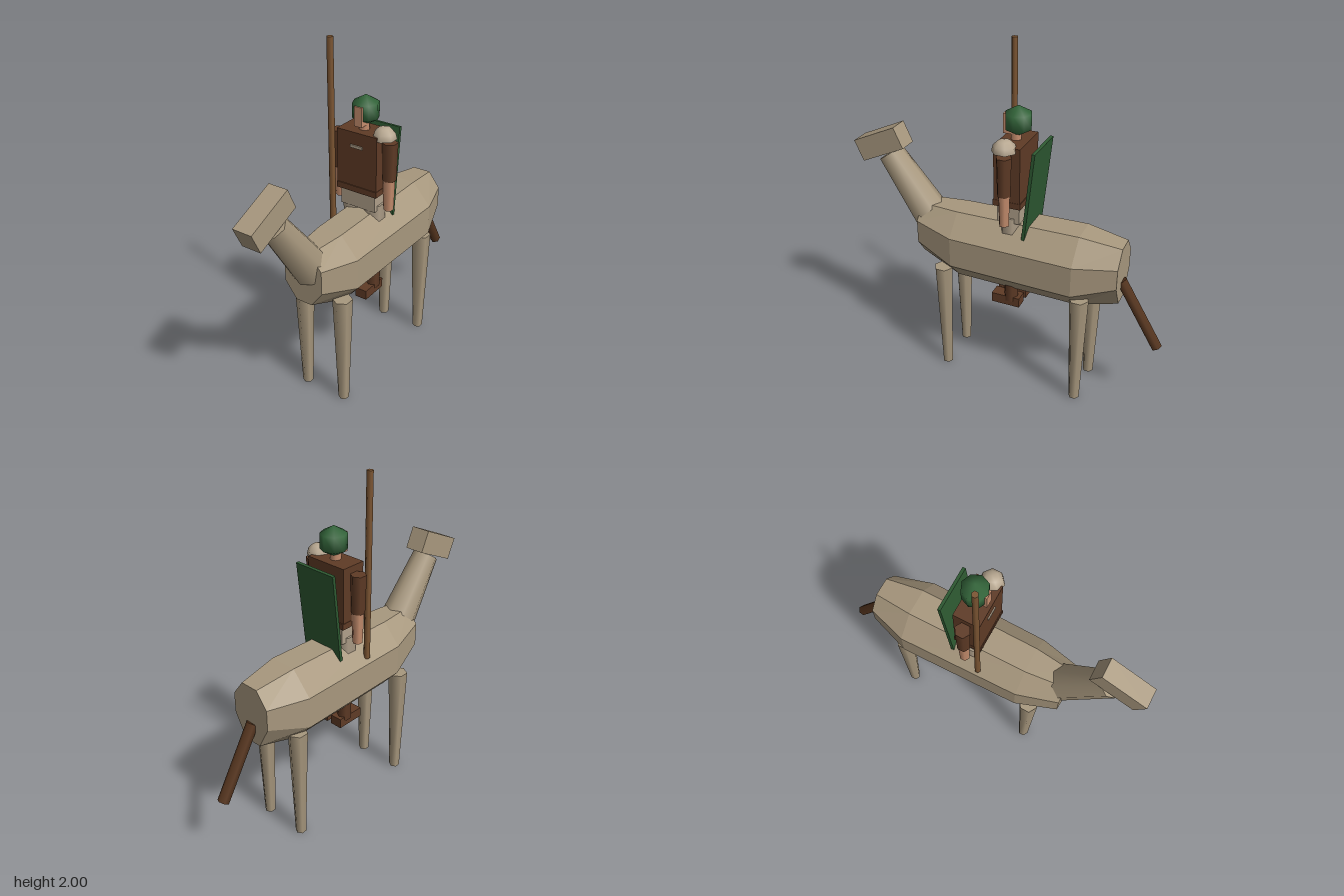
import * as THREE from 'three';

const mat = (name, color, extra = {}) => {
  const m = new THREE.MeshStandardMaterial({ color, ...extra });
  m.name = name;
  return m;
};

export function createModel() {
  const hide = mat('sandy hide', 0xa8987e);
  const hideFlat = mat('sandy hide faceted', 0xa8987e, { flatShading: true });
  const cloth = mat('pale cloth', 0xb0a08a);
  const leather = mat('brown leather', 0x5f3b26);
  const hair = mat('dark hair', 0x57361f);
  const skin = mat('skin', 0xc68e6e);
  const helmetGreen = mat('helmet green', 0x33653a);
  const shieldGreen = mat('shield green', 0x2e5a32);
  const wood = mat('wood', 0x7d5633);

  const model = new THREE.Group();
  model.name = 'mountedRider';

  const add = (name, geo, material, x, y, z, rx = 0) => {
    const mesh = new THREE.Mesh(geo, material);
    mesh.name = name;
    mesh.position.set(x, y, z);
    mesh.rotation.x = rx;
    model.add(mesh);
    return mesh;
  };
  const box = (name, m, w, h, d, x, y, z, rx) =>
    add(name, new THREE.BoxGeometry(w, h, d), m, x, y, z, rx);
  // Upright tapered limb between two heights
  const limb = (name, m, rTop, rBottom, yTop, yBottom, x, z, sides = 6) =>
    add(name, new THREE.CylinderGeometry(rTop, rBottom, yTop - yBottom, sides), m, x, (yTop + yBottom) / 2, z);
  // Tapered limb leaning in the YZ plane, from a [y, z] top to a [y, z] bottom
  const leaning = (name, m, rTop, rBottom, top, bottom, sides) => {
    const dy = top[0] - bottom[0], dz = top[1] - bottom[1];
    return add(name, new THREE.CylinderGeometry(rTop, rBottom, Math.hypot(dy, dz), sides), m,
      0, (top[0] + bottom[0]) / 2, (top[1] + bottom[1]) / 2, Math.atan2(dz, dy));
  };

  // Mount body: octagonal sections lofted from chest to rump
  // z, top half-width, side half-width, bottom, lower ridge, upper ridge, top
  const sections = [
    [0.517, 0.05, 0.12, 0.715, 0.81, 0.945, 1.03],
    [0.28, 0.075, 0.182, 0.62, 0.738, 0.915, 1.035],
    [-0.443, 0.08, 0.195, 0.612, 0.735, 0.915, 1.045],
    [-0.676, 0.055, 0.125, 0.668, 0.80, 0.92, 1.012],
  ];
  const rings = sections.map(([z, t, m, yb, yl, yh, yt]) => [
    [m, yl, z], [m, yh, z], [t, yt, z], [-t, yt, z],
    [-m, yh, z], [-m, yl, z], [-t, yb, z], [t, yb, z],
  ]);
  const verts = [];
  const tri = (a, b, c) => verts.push(...a, ...b, ...c);
  for (let r = 0; r < rings.length - 1; r++) {
    for (let i = 0; i < 8; i++) {
      const j = (i + 1) % 8, p = rings[r], q = rings[r + 1];
      tri(p[i], q[i], q[j]);
      tri(p[i], q[j], p[j]);
    }
  }
  const rear = rings[rings.length - 1];
  for (let i = 1; i < 7; i++) {
    tri(rings[0][0], rings[0][i], rings[0][i + 1]);
    tri(rear[0], rear[i + 1], rear[i]);
  }
  const bodyGeo = new THREE.BufferGeometry();
  bodyGeo.setAttribute('position', new THREE.Float32BufferAttribute(verts, 3));
  bodyGeo.computeVertexNormals();
  add('mountBody', bodyGeo, hideFlat, 0, 0, 0);

  // Mount neck, head, tail and legs
  leaning('mountNeck', hide, 0.075, 0.11, [1.29, 0.73], [0.9, 0.45], 8);
  box('mountHead', hide, 0.115, 0.13, 0.292, 0, 1.35, 0.776, 0.43);
  leaning('mountTail', hair, 0.033, 0.033, [0.785, -0.67], [0.4, -0.9], 6);
  for (const x of [-0.13, 0.13])
    for (const z of [0.35, -0.475])
      limb(z > 0 ? 'mountFrontLeg' : 'mountBackLeg', hide, 0.056, 0.031, 0.69, 0, x, z);

  // Rider torso with hem, chest clasp and hips
  box('torso', leather, 0.254, 0.35, 0.15, 0, 1.335, -0.045);
  box('torsoHem', leather, 0.258, 0.035, 0.16, 0, 1.178, -0.045);
  box('chestClasp', cloth, 0.075, 0.016, 0.008, 0, 1.43, 0.033);
  box('hips', cloth, 0.22, 0.1, 0.13, 0, 1.11, -0.047);

  // Rider legs and arms, mirrored
  for (const s of [-1, 1]) {
    limb('thigh', cloth, 0.062, 0.055, 1.09, 0.8, s * 0.068, -0.045);
    limb('shin', leather, 0.05, 0.04, 0.8, 0.53, s * 0.06, -0.045);
    box('boot', leather, 0.075, 0.058, 0.17, s * 0.052, 0.527, -0.02);
    limb('sleeve', leather, 0.044, 0.038, 1.47, 1.25, s * 0.162, -0.045);
    limb('forearm', skin, 0.034, 0.028, 1.255, 1.07, s * 0.16, -0.045);
  }

  // Domed guard on the left shoulder only
  add('shoulderGuard',
    new THREE.SphereGeometry(0.068, 7, 3, 0, Math.PI * 2, 0, Math.PI / 2),
    mat('pale guard', 0xb8a891, { side: THREE.DoubleSide }), 0.133, 1.49, -0.035);

  // Rider head: neck, helmet and the face showing in its opening
  limb('neck', skin, 0.03, 0.03, 1.56, 1.5, 0, -0.045, 8);
  add('helmet', new THREE.SphereGeometry(0.085, 8, 3), helmetGreen, 0, 1.614, -0.058);
  box('face', skin, 0.048, 0.11, 0.05, 0, 1.595, -0.006);

  // Shield on the back and upright spear at the right side
  box('shield', shieldGreen, 0.264, 0.52, 0.018, 0, 1.24, -0.168, -0.105);
  limb('spear', wood, 0.018, 0.018, 2, 0.94, -0.16, 0.033);

  return model;
}
